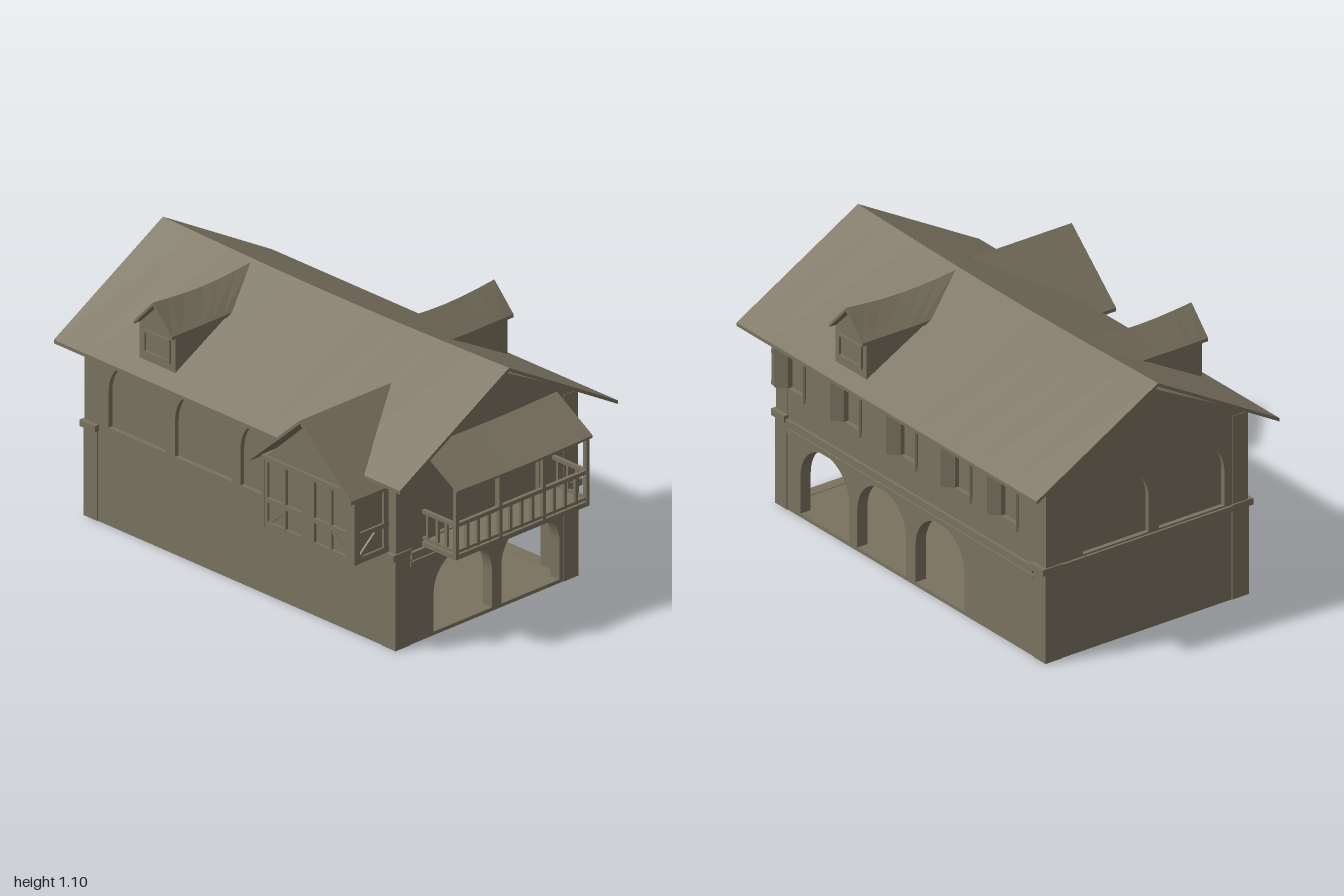
import * as THREE from 'three';

const stone = new THREE.MeshStandardMaterial({ color: 0x7a7260 });
stone.name = 'weathered stone';

const C = -0.07;          // z of the ridge and house centre
const RIDGE = 1.1, SLOPE = 0.57;
const X0 = -0.93, X1 = 0.8, HALF_D = 0.4925;
const XC = (X0 + X1) / 2, HALF_W = (X1 - X0) / 2;

function add(parent, name, geo) {
  const mesh = new THREE.Mesh(geo, stone);
  mesh.name = name;
  parent.add(mesh);
  return mesh;
}
function box(parent, name, w, h, d, x, y, z) {
  const mesh = add(parent, name, new THREE.BoxGeometry(w, h, d));
  mesh.position.set(x, y, z);
  return mesh;
}
function poly(points) {
  return new THREE.Shape(points.map(([x, y]) => new THREE.Vector2(x, y)));
}
const extrude = (shape, depth, steps = 1) =>
  new THREE.ExtrudeGeometry(shape, { depth, steps, bevelEnabled: false, curveSegments: 10 });

// Round-headed opening, u = centre, y from bottom to top
function arch([u, bottom, top, w]) {
  const r = w / 2, s = new THREE.Shape();
  s.moveTo(u - r, bottom);
  s.lineTo(u + r, bottom);
  s.lineTo(u + r, top - r);
  s.absarc(u, top - r, r, 0, Math.PI, false);
  s.closePath();
  return s;
}
// Inverted V profile of a pitched roof
const chevron = (w, eave, apex, t) =>
  poly([[-w, eave - t], [0, apex - t], [w, eave - t], [w, eave], [0, apex], [-w, eave]]);

function moveVertices(geo, rule) {
  const p = geo.attributes.position;
  for (let i = 0; i < p.count; i++) p.setXYZ(i, ...rule(p.getX(i), p.getY(i), p.getZ(i)));
  geo.computeVertexNormals();
  return geo;
}
// Runs a profile from z = front back until it dies into the main roof slope
function intoRoof(shape, front, cap, eave, apex, sag) {
  return moveVertices(extrude(shape, 1, 6), (x, y, t) => {
    const back = Math.min((RIDGE - y) / SLOPE - 0.02, cap);
    const high = Math.max(0, (y - eave) / (apex - eave));
    return [x, y - sag * Math.sin(Math.PI * t) * high, back + (front - back) * t];
  });
}

// Wall with open arches and shallow blind arches; outer face at local z = 0
function wall(parent, name, half, gable, open, blind) {
  const g = new THREE.Group();
  g.name = name;
  const pts = [[-half, 0], [half, 0], [half, 0.8]];
  if (gable) pts.push([0, 1.055]);
  pts.push([-half, 0.8]);
  const shape = poly(pts);
  shape.holes = [...open, ...blind].map(arch);
  add(g, name + 'Masonry', extrude(shape, 0.05).translate(0, 0, -0.05));
  blind.forEach(a => add(g, 'archPanel', extrude(arch(a), 0.02).translate(0, 0, -0.04)));
  parent.add(g);
  return g;
}

function dormer(x, turn) {
  const g = new THREE.Group();
  g.name = 'dormer';
  const body = poly([[-0.1, 0.8], [0.1, 0.8], [0.1, 0.955], [0, 1.055], [-0.1, 0.955]]);
  add(g, 'dormerWalls', intoRoof(body, 0.525, 1, 0.96, 1.055, 0.015));
  add(g, 'dormerRoof', intoRoof(chevron(0.107, 0.967, 1.08, 0.014), 0.55, 1, 0.96, 1.08, 0.018));
  // window frame
  for (const s of [-1, 1]) {
    box(g, 'dormerWindowFrame', 0.012, 0.09, 0.012, s * 0.07, 0.885, 0.528);
    box(g, 'dormerWindowFrame', 0.15, 0.012, 0.012, 0, 0.885 + s * 0.045, 0.528);
  }
  g.position.set(x, 0, C);
  g.rotation.y = turn;
  return g;
}

function bay() {
  const g = new THREE.Group();
  g.name = 'bayWindow';
  const body = poly([[-0.25, 0.42], [0.25, 0.42], [0.25, 0.71], [0, 0.94], [-0.25, 0.71]]);
  add(g, 'bayWalls', intoRoof(body, 0.67, 0.48, 0.7, 0.95, 0));
  add(g, 'bayRoof', intoRoof(chevron(0.285, 0.712, 0.967, 0.015), 0.725, 0.48, 0.7, 0.96, 0));
  // timber frame on the front and both sides
  for (const [x, w] of [[-0.243, 0.035], [-0.13, 0.012], [0, 0.07], [0.125, 0.012], [0.237, 0.047]])
    box(g, 'bayPost', w, 0.29, 0.03, x, 0.56, 0.667);
  for (const [y, h] of [[0.428, 0.025], [0.535, 0.02], [0.71, 0.02]]) {
    box(g, 'bayRail', 0.52, h, 0.03, 0, y, 0.667);
    for (const s of [-1, 1]) box(g, 'baySideRail', 0.02, h, 0.19, s * 0.25, y, 0.58);
  }
  for (const s of [-1, 1]) {
    for (const z of [0.51, 0.67]) box(g, 'baySidePost', 0.02, 0.29, 0.025, s * 0.25, 0.56, z);
    box(g, 'bayBrace', 0.015, 0.13, 0.02, s * 0.17, 0.485, 0.668).rotation.z = s * 0.85;
    box(g, 'baySideBrace', 0.018, 0.13, 0.015, s * 0.25, 0.485, 0.6).rotation.x = -0.85;
  }
  g.position.set(0.505, 0, C);
  return g;
}

function balcony() {
  const g = new THREE.Group();
  g.name = 'balcony';
  const z0 = -0.445, z1 = 0.28, zc = (z0 + z1) / 2, len = z1 - z0, xo = 0.982;
  box(g, 'balconyFloor', 0.2, 0.02, len, 0.89, 0.415, zc);
  box(g, 'topRail', 0.016, 0.016, len, xo, 0.552, zc);
  box(g, 'bottomRail', 0.012, 0.012, len, xo, 0.438, zc);
  box(g, 'headBeam', 0.016, 0.014, len, xo, 0.7, zc);
  for (let i = 0; i <= 12; i++) {
    const z = z0 + 0.009 + (len - 0.018) * i / 12;
    if (i % 4 === 0) box(g, 'balconyPost', 0.017, 0.29, 0.017, xo, 0.56, z);
    else box(g, 'baluster', 0.012, 0.12, 0.014, xo, 0.49, z);
  }
  for (const z of [z0 + 0.009, z1 - 0.009]) {
    box(g, 'sideTopRail', 0.19, 0.016, 0.016, 0.89, 0.552, z);
    box(g, 'sideBottomRail', 0.19, 0.012, 0.012, 0.89, 0.438, z);
    for (const x of [0.825, 0.88, 0.93]) box(g, 'sideBaluster', 0.012, 0.12, 0.012, x, 0.49, z);
  }
  // lean-to roof, slightly sagging along its length
  const lean = extrude(poly([[0.79, 0.822], [1, 0.697], [1, 0.707], [0.79, 0.834]]), len + 0.01, 8);
  add(g, 'balconyRoof', moveVertices(lean, (x, y, z) =>
    [x, y - 0.006 * Math.sin(Math.PI * z / (len + 0.01)), z])).position.z = z0 - 0.008;
  return g;
}

export function createModel() {
  const model = new THREE.Group();
  model.name = 'house';

  // Walls
  wall(model, 'frontWall', HALF_W, false, [],
    [-0.64, -0.27, 0.095].map(x => [x - XC, 0.42, 0.735, 0.32])).position.set(XC, 0, C + HALF_D);

  const windows = [0.67, 0.31, -0.05, -0.4, -0.7];
  const back = wall(model, 'backWall', HALF_W, false,
    [0.49, 0.125, -0.25].map(x => [XC - x, 0.015, 0.335, 0.315]),
    windows.map(x => [XC - x, 0.53, 0.71, 0.11]));
  back.position.set(XC, 0, C - HALF_D);
  back.rotation.y = Math.PI;
  for (const x of windows) for (const s of [-1, 1]) {
    const shutter = box(back, 'shutter', 0.055, 0.185, 0.008, XC - x + s * 0.075, 0.625, 0.02);
    shutter.rotation.y = -s * 0.7;
  }

  const right = wall(model, 'rightWall', HALF_D, true,
    [0.058, -0.31].map(z => [C - z, 0.015, 0.335, 0.317]),
    [0.14, -0.08, -0.3].map(z => [C - z, 0.43, 0.71, 0.115]));
  right.position.set(X1, 0, C);
  right.rotation.y = Math.PI / 2;

  const left = wall(model, 'leftWall', HALF_D, true, [],
    [-0.22, 0.15].map(z => [z - C, 0.42, 0.735, 0.32]));
  left.position.set(X0, 0, C);
  left.rotation.y = -Math.PI / 2;

  // Floors
  box(model, 'groundFloor', 2 * HALF_W - 0.01, 0.012, 2 * HALF_D - 0.01, XC, 0.007, C);
  box(model, 'upperFloor', 2 * HALF_W - 0.06, 0.03, 2 * HALF_D - 0.06, XC, 0.39, C);

  // Corner piers with caps
  for (const sx of [-1, 1]) for (const sz of [-1, 1]) {
    const x = XC + sx * (HALF_W - 0.033), z = C + sz * (HALF_D - 0.036);
    box(model, 'cornerPier', 0.075, 0.39, 0.082, x, 0.196, z);
    box(model, 'pierCap', 0.085, 0.028, 0.1, x, 0.402, z + sz * 0.008);
    box(model, 'upperPier', 0.072, 0.39, 0.075, x, 0.605, z);
  }

  // Floor bands on the back and gable ends
  for (const [y, h, out] of [[0.348, 0.02, 0.008], [0.385, 0.03, 0.014]]) {
    box(model, 'backBand', 2 * HALF_W - 0.14, h, out * 2, XC, y, C - HALF_D);
    box(model, 'rightBand', out * 2, h, 2 * HALF_D - 0.15, X1, y, C);
  }
  box(model, 'leftBand', 0.02, 0.025, 2 * HALF_D - 0.15, X0, 0.4, C);

  // Main roof with a gently sagging ridge
  const roof = extrude(chevron(0.593, 0.765, RIDGE, 0.015), 1.93, 10);
  moveVertices(roof, (x, y, z) =>
    [x, y - 0.015 * Math.sin(Math.PI * z / 1.93) * Math.max(0, (y - 0.75) / 0.35), z]);
  const mainRoof = add(model, 'mainRoof', roof);
  mainRoof.rotation.y = Math.PI / 2;
  mainRoof.position.set(-1, 0, C + 0.003);

  model.add(dormer(-0.495, 0), dormer(0.28, Math.PI), bay(), balcony());
  return model;
}
